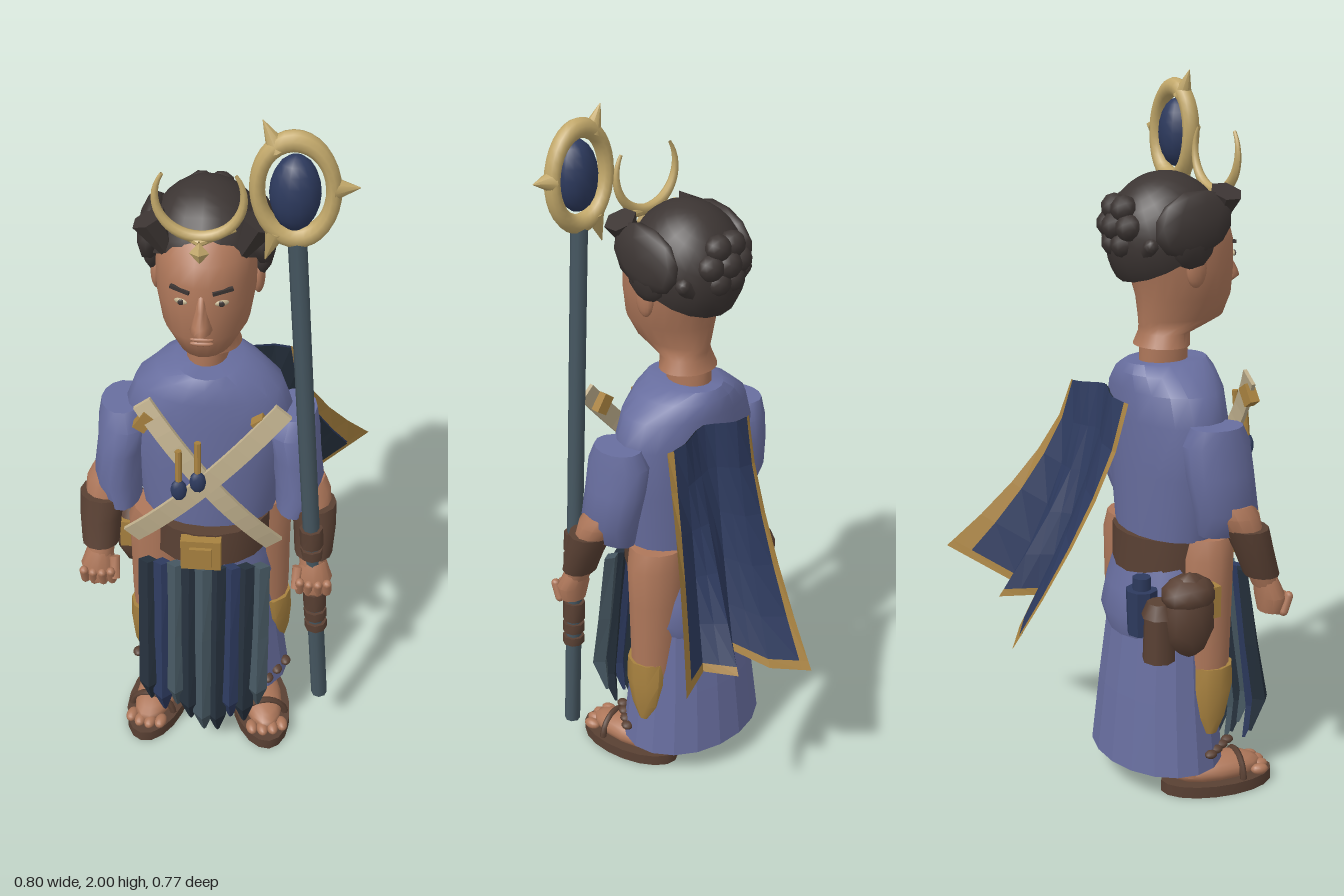
import * as THREE from 'three';
import { toCreasedNormals } from 'three/addons/utils/BufferGeometryUtils.js';

const CX = -0.045; // the body's middle line

export function createModel() {
  const root = new THREE.Group();
  root.name = 'robedFigure';
  const colour = (name, color) => {
    const m = new THREE.MeshStandardMaterial({ color });
    m.name = name;
    return m;
  };
  const skin = colour('skin', 0xae775a), robe = colour('periwinkleCloth', 0x686e9f);
  const hair = colour('darkHair', 0x3c3533), gold = colour('paleGold', 0xc2a86a);
  const cream = colour('creamStrap', 0xc2b28f), leather = colour('leather', 0x594033);
  const bronze = colour('bronze', 0xa7813f), navy = colour('navy', 0x2d3a5e);
  const slate = colour('slate', 0x455660), ink = colour('inkCloth', 0x25303c);
  for (const m of [hair, gold, bronze, navy, ink]) m.side = THREE.DoubleSide;

  const add = (name, geo, mat, pos = [0, 0, 0], rot = [0, 0, 0], scale = [1, 1, 1]) => {
    const m = new THREE.Mesh(geo, mat);
    m.name = name;
    m.position.set(...pos);
    m.rotation.set(...rot);
    m.scale.set(...scale);
    root.add(m);
    return m;
  };
  const flat = (g) => toCreasedNormals(g, 0.01);
  const ball = (name, mat, pos, scale, rot) => add(name, new THREE.SphereGeometry(1, 14, 10), mat, pos, rot, scale);
  const lump = (name, mat, pos, scale, rot) => add(name, new THREE.IcosahedronGeometry(1, 1), mat, pos, rot, scale);

  // Closed loft through ellipses, bottom to top: [y, x, z, radiusX, radiusZ]
  const loft = (rows, n = 18, crease = 0.7) => {
    const p = [], idx = [];
    rows.forEach(([y, x, z, rx, rz]) => {
      for (let j = 0; j < n; j++) {
        const a = (j / n) * Math.PI * 2;
        p.push(x + rx * Math.cos(a), y, z + rz * Math.sin(a));
      }
    });
    const last = rows.length - 1, b = rows.length * n;
    p.push(rows[0][1], rows[0][0], rows[0][2], rows[last][1], rows[last][0], rows[last][2]);
    for (let j = 0; j < n; j++) {
      const k = (j + 1) % n;
      for (let i = 0; i < last; i++) {
        const q = i * n, r = q + n;
        idx.push(q + j, r + j, q + k, q + k, r + j, r + k);
      }
      idx.push(b, j, k, b + 1, last * n + k, last * n + j);
    }
    const g = new THREE.BufferGeometry();
    g.setAttribute('position', new THREE.Float32BufferAttribute(p, 3));
    g.setIndex(idx);
    return toCreasedNormals(g, crease);
  };
  const rod = (name, mat, a, b, r0, r1 = r0, n = 8) => {
    const A = new THREE.Vector3(...a), d = new THREE.Vector3(...b).sub(A);
    const m = add(name, toCreasedNormals(new THREE.CylinderGeometry(r1, r0, d.length(), n), 0.9), mat);
    m.position.copy(A).addScaledVector(d, 0.5);
    m.quaternion.setFromUnitVectors(new THREE.Vector3(0, 1, 0), d.normalize());
  };

  // Torso, waist and skirt
  add('tunic', loft([[0.77, CX, 0.115, 0.185, 0.13], [0.95, CX, 0.115, 0.21, 0.14], [1.1, CX, 0.11, 0.225, 0.142],
    [1.18, CX, 0.107, 0.195, 0.14], [1.225, CX, 0.105, 0.14, 0.135], [1.25, CX, 0.105, 0.09, 0.12]], 20), robe);
  add('hipWrap', loft([[0.47, CX, 0.09, 0.17, 0.14], [0.53, CX, 0.085, 0.195, 0.15], [0.6, CX, 0.09, 0.185, 0.14],
    [0.7, CX, 0.11, 0.165, 0.135]], 18), robe);
  add('skirt', loft([[0.09, CX, 0.085, 0.232, 0.175], [0.3, CX, 0.085, 0.205, 0.155], [0.56, CX, 0.09, 0.175, 0.13]], 18, 0.01), robe);
  add('belt', loft([[0.66, CX, 0.125, 0.172, 0.16], [0.77, CX, 0.125, 0.174, 0.158]], 18), leather);
  add('buckle', new THREE.BoxGeometry(0.11, 0.1, 0.03), bronze, [-0.055, 0.715, 0.29]);
  add('bucklePlate', new THREE.BoxGeometry(0.06, 0.06, 0.02), bronze, [-0.055, 0.715, 0.305]);

  // Neck and head
  add('neckStump', loft([[1.24, -0.05, 0.095, 0.055, 0.07], [1.292, -0.05, 0.095, 0.055, 0.07]]), skin);
  add('head', loft([[1.29, CX, 0.092, 0.085, 0.075], [1.325, CX, 0.1, 0.073, 0.07], [1.343, CX, 0.13, 0.073, 0.102],
    [1.36, CX, 0.152, 0.078, 0.126], [1.42, CX, 0.16, 0.11, 0.136], [1.5, CX, 0.15, 0.124, 0.15],
    [1.57, CX, 0.137, 0.127, 0.16], [1.62, CX, 0.128, 0.122, 0.154], [1.665, CX, 0.11, 0.105, 0.13],
    [1.7, CX, 0.1, 0.07, 0.09]], 22, 1.1), skin);
  add('nose', loft([[1.445, CX, 0.295, 0.022, 0.018], [1.458, CX, 0.3, 0.028, 0.038], [1.475, CX, 0.297, 0.022, 0.036],
    [1.51, CX, 0.29, 0.014, 0.022], [1.55, CX, 0.284, 0.011, 0.012]], 12, 1.3), skin);
  for (const y of [1.41, 1.422]) ball('lip', skin, [CX, y, 0.291], [0.03, 0.007, 0.008]);
  for (const s of [-1, 1]) {
    ball('eye', cream, [CX + s * 0.05, 1.528, 0.286], [0.018, 0.008, 0.005], [0, s * 0.4, 0]);
    ball('iris', hair, [CX + s * 0.049, 1.528, 0.291], [0.008, 0.008, 0.003]);
    add('brow', new THREE.BoxGeometry(0.052, 0.009, 0.009), hair, [CX + s * 0.052, 1.56, 0.284], [0, s * 0.4, s * 0.12]);
    ball('ear', skin, [CX + s * 0.128, 1.51, 0.12], [0.016, 0.05, 0.03]);
  }

  // Hair cap, side sweeps, fringe and bun
  const cap = new THREE.SphereGeometry(1, 20, 10, 0, Math.PI * 2, 0, 1.74);
  cap.rotateX(-0.5);
  cap.scale(0.152, 0.175, 0.163);
  add('hairCap', cap, hair, [CX - 0.003, 1.58, 0.098]);
  for (const s of [-1, 1]) {
    lump('sideHair', hair, [CX + s * 0.136, 1.63, 0.105], [0.036, 0.085, 0.12], [-0.3, 0, s * 0.12]);
    lump('sideLock', hair, [CX + s * 0.142, 1.575, 0.1], [0.026, 0.065, 0.065], [0, 0, -s * 0.15]);
    add('fringe', flat(new THREE.ConeGeometry(0.045, 0.16, 6)), hair, [CX + s * 0.098, 1.635, 0.205], [Math.PI, 0, s * 0.45]);
    add('hairTail', new THREE.CapsuleGeometry(0.022, 0.1, 3, 8), hair, [CX + s * 0.07, 1.545, -0.008], [0, 0, -s * 0.9]);
  }
  lump('bunCentre', hair, [-0.05, 1.62, -0.055], [0.038, 0.038, 0.036]);
  for (let i = 0; i < 6; i++) {
    const a = (i / 6) * Math.PI * 2;
    lump('bunCurl', hair, [-0.05 + 0.05 * Math.cos(a), 1.62 + 0.053 * Math.sin(a), -0.042], [0.037, 0.037, 0.036]);
  }

  // Crescent headpiece: a torus arc thinned toward its tips
  const arc = 4.35, moon = new THREE.TorusGeometry(0.104, 0.015, 8, 28, arc), mp = moon.attributes.position;
  for (let i = 0; i < mp.count; i++) {
    const a = ((i % 29) / 28) * arc, k = 0.3 + 0.7 * Math.sin((a / arc) * Math.PI);
    const x = 0.104 * Math.cos(a), y = 0.104 * Math.sin(a);
    mp.setXYZ(i, x + (mp.getX(i) - x) * k, y + (mp.getY(i) - y) * k, mp.getZ(i) * k);
  }
  moon.computeVertexNormals();
  add('crescent', moon, gold, [-0.05, 1.795, 0.255], [0, 0, -Math.PI / 2 - arc / 2]);
  add('browOrnament', flat(new THREE.OctahedronGeometry(0.03)), gold, [-0.05, 1.655, 0.272], [0, 0, 0], [0.8, 1, 0.5]);
  for (const s of [-1, 1]) rod('circlet', gold, [-0.05, 1.68, 0.265], [-0.05 + s * 0.08, 1.7, 0.225], 0.01);

  // Arms, legs and feet; the right thigh swings forward
  for (const s of [-1, 1]) {
    const X = (o) => CX + s * o, step = s < 0 ? 0.07 : 0;
    add('sleeve', loft([[0.81, X(0.235), 0.16, 0.05, 0.085], [0.88, X(0.248), 0.148, 0.068, 0.094], [0.98, X(0.235), 0.135, 0.068, 0.1],
      [1.06, X(0.222), 0.13, 0.075, 0.098], [1.11, X(0.23), 0.125, 0.058, 0.075]], 14), robe);
    add('forearm', loft([[0.66, X(0.295), 0.25, 0.036, 0.036], [0.74, X(0.293), 0.22, 0.045, 0.045], [0.83, X(0.28), 0.18, 0.058, 0.052],
      [0.87, X(0.268), 0.165, 0.066, 0.062], [0.9, X(0.258), 0.155, 0.06, 0.06]], 12), skin);
    add('cuff', loft([[0.695, X(0.295), 0.235, 0.052, 0.048], [0.77, X(0.295), 0.207, 0.058, 0.053], [0.835, X(0.285), 0.187, 0.067, 0.06]], 12), leather);
    add('palm', loft([[0.585, X(0.3), 0.265, 0.04, 0.034], [0.63, X(0.3), 0.262, 0.05, 0.04], [0.68, X(0.297), 0.247, 0.034, 0.034]], 12), skin);
    for (let i = 0; i < 4; i++) {
      add('finger', new THREE.CapsuleGeometry(0.013, 0.045, 3, 8), skin, [X(0.262 + i * 0.025), 0.6 + Math.abs(i - 1.5) * 0.006, 0.29], [0.35, 0, 0]);
    }
    rod('thumb', skin, [X(0.255), 0.66, 0.265], [X(0.25), 0.605, 0.295], 0.016, 0.013);
    add('thigh', loft([[0.3, X(0.16), 0.08 + step, 0.06, 0.062], [0.45, X(0.145), 0.08 + step, 0.08, 0.07], [0.6, X(0.137), 0.08 + step, 0.088, 0.078],
      [0.72, X(0.13), 0.08 + step, 0.097, 0.082], [0.775, X(0.125), 0.085 + step, 0.085, 0.08]], 14), skin);
    add('kneeGuard', loft([[0.2, X(0.2), 0.07 + step, 0.02, 0.02], [0.25, X(0.185), 0.075 + step, 0.045, 0.05],
      [0.33, X(0.177), 0.082 + step, 0.058, 0.068], [0.4, X(0.167), 0.085 + step, 0.064, 0.067]], 10), bronze);
    for (let i = 0; i < 4; i++) lump('hemBead', leather, [X(0.225 - i * 0.024), 0.14 - i * 0.004, 0.13 + i * 0.034], [0.016, 0.012, 0.019]);
    rod('ankle', skin, [X(0.145), 0.05, 0.12], [X(0.13), 0.22, 0.1], 0.045, 0.055, 12);
    const t = s * 0.22, F = (dx, y, dz) => [X(0.155) + dx * Math.cos(t) + dz * Math.sin(t), y, 0.195 + dz * Math.cos(t) - dx * Math.sin(t)];
    add('sole', toCreasedNormals(new THREE.CylinderGeometry(1, 1, 0.034, 18), 0.7), leather, F(0, 0.017, 0), [0, t, 0], [0.085, 1, 0.168]);
    ball('foot', skin, F(0, 0.055, -0.005), [0.062, 0.042, 0.14], [0, t, 0]);
    ball('instep', skin, F(0, 0.075, -0.06), [0.052, 0.05, 0.08], [0, t, 0]);
    for (let i = 0; i < 4; i++) ball('toe', skin, F(-0.045 + i * 0.03, 0.047, 0.132 - Math.abs(i - 1.5) * 0.01), [0.017, 0.016, 0.026], [0, t, 0]);
    add('sandalStrap', new THREE.TorusGeometry(0.06, 0.01, 6, 12, Math.PI), leather, F(0, 0.028, 0.06), [0, t, 0], [1.08, 1.08, 1]);
  }

  // Hanging front strips, folded and pointed
  const stripColours = [ink, navy, slate, ink, slate, ink, navy, ink, slate];
  [0.14, 0.1, 0.13, 0.08, 0.04, 0.035, 0.09, 0.07, 0.14].forEach((end, i) => {
    const o = i - 4, x = -0.05 + o * 0.039, z = 0.288 - Math.abs(o) * 0.005;
    add('frontStrip', loft([[end, x, z + 0.04, 0.006, 0.006], [end + 0.1, x, z + 0.07, 0.029, 0.026],
      [0.42, x, z + 0.035, 0.029, 0.022], [0.655, x, z - 0.003, 0.027, 0.016]], 4, 0.01), stripColours[i]);
  });

  // Crossed chest straps, bowed outward
  [[-0.03, 0.98, 0.57, -0.92, 0.275], [-0.042, 0.985, 0.6, 0.828, 0.282]].forEach(([x, y, len, turn, z]) => {
    const g = new THREE.BoxGeometry(len, 0.054, 0.012, 12, 1, 1), p = g.attributes.position;
    for (let i = 0; i < p.count; i++) p.setZ(i, p.getZ(i) + 0.045 * (1 - (p.getX(i) / (len / 2)) ** 2));
    add('chestStrap', flat(g), cream, [x, y, z], [0, 0, turn]);
  });
  for (const s of [-1, 1]) add('strapClasp', new THREE.BoxGeometry(0.035, 0.055, 0.03), bronze, [CX + s * 0.152, 1.155, 0.28], [0, 0, s * 0.6]);
  [[-0.105, 0.98], [-0.055, 1.01]].forEach(([x, y]) => {
    lump('charm', navy, [x, y, 0.342], [0.022, 0.034, 0.016]);
    rod('charmPin', bronze, [x, y + 0.02, 0.34], [x, y + 0.12, 0.33], 0.009);
  });

  // Pouches and bottle at the back of the right hip
  lump('pouch', leather, [-0.27, 0.585, 0.05], [0.062, 0.125, 0.075]);
  lump('pouchFlap', leather, [-0.265, 0.645, 0.05], [0.068, 0.055, 0.08]);
  add('caseBody', new THREE.CylinderGeometry(0.042, 0.046, 0.13, 8), leather, [-0.232, 0.52, -0.022]);
  add('caseLid', new THREE.CylinderGeometry(0.034, 0.05, 0.04, 8), leather, [-0.232, 0.605, -0.022]);
  add('bottle', flat(new THREE.CylinderGeometry(0.045, 0.04, 0.13, 8)), navy, [-0.16, 0.575, -0.035]);
  add('bottleNeck', new THREE.CylinderGeometry(0.026, 0.026, 0.04, 8), navy, [-0.16, 0.655, -0.035]);
  add('hipBox', new THREE.BoxGeometry(0.04, 0.09, 0.06), bronze, [-0.285, 0.62, 0.1]);

  // Pleated cape with a bronze border, swept back and to the left
  const hem = [[-0.065, 0.5, -0.385], [0.03, 0.52, -0.315], [0.095, 0.57, -0.235], [0.157, 0.56, -0.318], [0.22, 0.57, -0.245], [0.4, 0.645, -0.37]];
  const us = [0, 0.045, 0.2, 0.3, 0.4, 0.5, 0.6, 0.7, 0.8, 0.94, 1], vs = [0, 0.2, 0.4, 0.6, 0.8, 0.965, 1];
  const cp = [], cloth = [], trim = [], lerp = THREE.MathUtils.lerp;
  vs.forEach((v) => us.forEach((u) => {
    const k = Math.min(4, Math.floor(u * 5 + 1e-6)), f = u * 5 - k;
    const [x, y, z] = hem[k].map((h, c) => lerp(h, hem[k + 1][c], f));
    cp.push(lerp(-0.13 + 0.31 * u, x, v ** (1.25 + 0.4 * u)), lerp(1.18 - 0.04 * Math.abs(u - 0.5), y, v),
      lerp(-0.06 - 0.015 * Math.sin(u * 9), z, v ** 1.4));
  }));
  for (let i = 0; i < vs.length - 1; i++) for (let j = 0; j < us.length - 1; j++) {
    const a = i * us.length + j, b = a + us.length;
    const edge = j === 0 || j === us.length - 2 || i === vs.length - 2;
    (edge ? trim : cloth).push(a, a + 1, b, b, a + 1, b + 1);
  }
  const sheet = (name, idx, mat, pos) => {
    const g = new THREE.BufferGeometry();
    g.setAttribute('position', new THREE.Float32BufferAttribute(cp, 3));
    g.setIndex(idx);
    add(name, flat(g), mat, pos);
  };
  sheet('cape', cloth, navy);
  sheet('capeBorder', trim, bronze);
  sheet('capeLining', cloth, ink, [0, -0.003, 0.005]);

  // Staff with grip bands, oval ring, gem and spikes
  const at = (y) => [0.286 - (y - 0.155) * 0.069, y, 0.26];
  rod('staffShaft', slate, at(0.155), at(1.7), 0.023);
  [[0.43, 0.455], [0.47, 0.5], [0.51, 0.57], [0.7, 0.73], [0.74, 0.8]].forEach(([a, b]) => rod('gripBand', leather, at(a), at(b), 0.032));
  add('staffRing', new THREE.TorusGeometry(0.1, 0.021, 10, 32), gold, [0.172, 1.828, 0.26], [0, 0, 0.06], [0.88, 1.24, 1.2]);
  ball('staffGem', navy, [0.172, 1.828, 0.272], [0.06, 0.095, 0.052]);
  [[0.13, 1.93, 0.095, 2.0], [0.262, 1.835, 0.32, 1.84], [0.13, 1.72, 0.105, 1.64]].forEach(([x, y, X, Y]) =>
    rod('ringSpike', gold, [x, y, 0.26], [X, Y, 0.26], 0.028, 0.001));
  return root;
}
